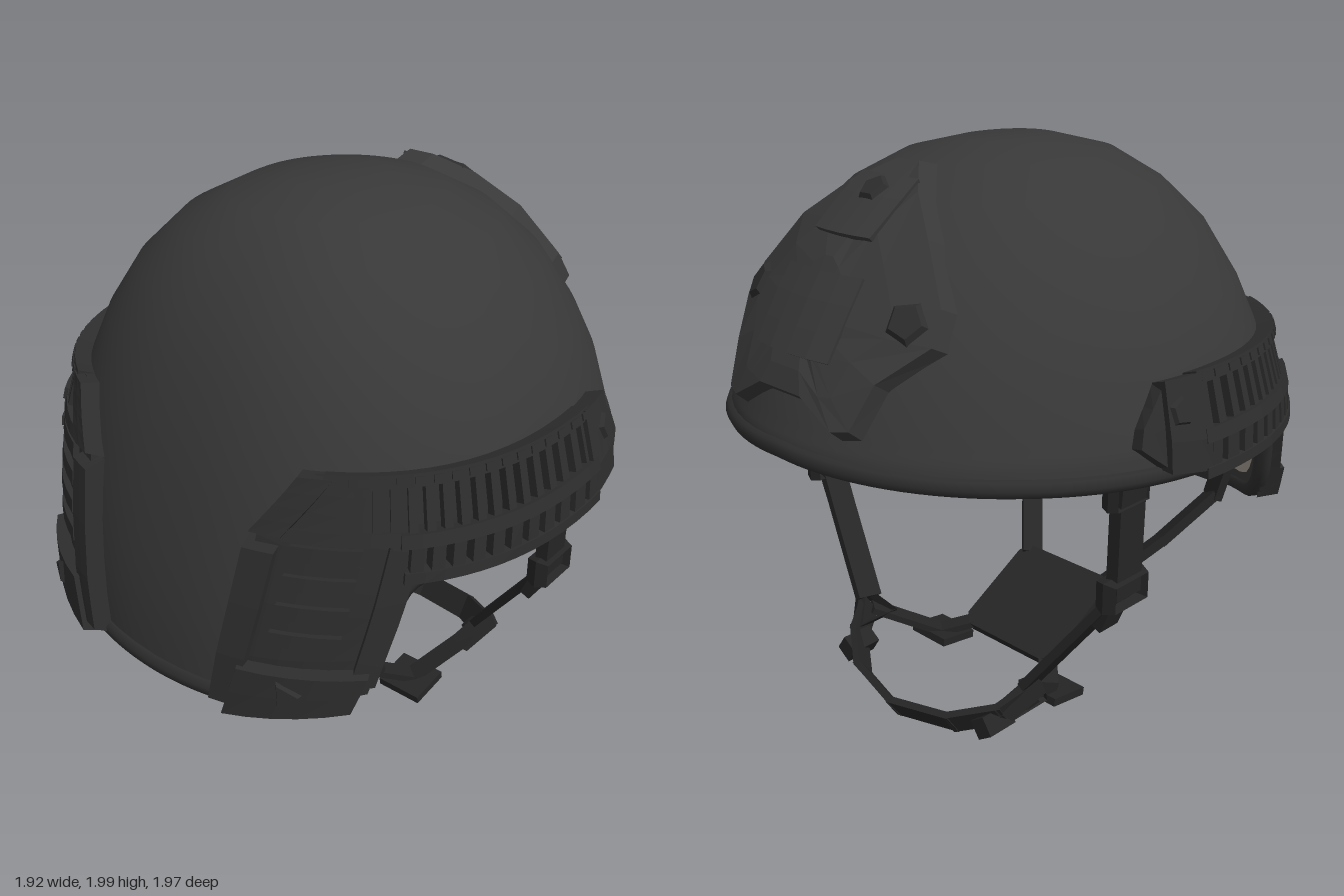
import * as THREE from 'three';
import { mergeGeometries, mergeVertices } from 'three/addons/utils/BufferGeometryUtils.js';
import { RoundedBoxGeometry } from 'three/addons/geometries/RoundedBoxGeometry.js';

const V = (x, y, z) => new THREE.Vector3(x, y, z);
const RAD = Math.PI / 180;
const lerp = THREE.MathUtils.lerp;

// Piecewise linear lookup; key in column 0, value in column k
function look(table, key, k) {
  let i = 0;
  while (i < table.length - 2 && key > table[i + 1][0]) i++;
  const t = THREE.MathUtils.clamp((key - table[i][0]) / (table[i + 1][0] - table[i][0]), 0, 1);
  return lerp(table[i][k], table[i + 1][k], t);
}

// Shell half-sizes by height: y, x, -z, +z
const PROFILE = [[0.58, 0.87, 0.97, 0.955], [0.8, 0.89, 0.97, 0.94], [1, 0.9, 0.97, 0.905], [1.2, 0.89, 0.955, 0.86],
  [1.4, 0.833, 0.88, 0.8], [1.555, 0.764, 0.79, 0.735], [1.73, 0.643, 0.67, 0.645], [1.865, 0.505, 0.505, 0.51],
  [1.955, 0.33, 0.335, 0.38], [2, 0.14, 0.15, 0.2]];
// Rim height by angle from +z
const RIM = [[0, 0.612], [20, 0.622], [35, 0.655], [41, 0.69], [46, 0.79], [50, 1.04], [55, 1.09], [90, 1.11], [130, 1.14], [180, 1.17]];
const rimY = (deg) => look(RIM, Math.abs(deg), 1);

function raw(deg, y) {
  const s = Math.sin(deg * RAD), c = Math.cos(deg * RAD), n = c > 0 ? 0.87 : 1;
  const x = look(PROFILE, y, 1) * Math.sign(s) * Math.abs(s) ** n;
  return V(x, y, c > 0 ? look(PROFILE, y, 3) * c ** n : look(PROFILE, y, 2) * c);
}
// Point on the shell, moved outward by off
function onShell(deg, y, off = 0) {
  const yn = Math.min(y, 1.97);
  const n = raw(deg + 2, yn).sub(raw(deg - 2, yn)).cross(raw(deg, yn + 0.03).sub(raw(deg, yn - 0.03))).normalize();
  return raw(deg, y).addScaledVector(n, off);
}

function fromPoints(pts, smooth) {
  let g = new THREE.BufferGeometry().setFromPoints(pts);
  if (smooth) g = mergeVertices(g, 1e-4);
  g.computeVertexNormals();
  return g;
}
function gridPoints(f, nu, nv, flip) {
  const out = [];
  for (let i = 0; i < nu; i++) for (let j = 0; j < nv; j++) {
    const [a, b, c, d] = [f(i / nu, j / nv), f((i + 1) / nu, j / nv), f((i + 1) / nu, (j + 1) / nv), f(i / nu, (j + 1) / nv)];
    out.push(...(flip ? [a, c, b, a, d, c] : [a, b, c, a, c, d]));
  }
  return out;
}

// Raised flat-sided slab on the shell between four [angle, y] corners
function slab(q, hi, nu = 1, nv = 1, lo = -0.01, bevel = 0) {
  const f = (u, v, h) => onShell(
    lerp(lerp(q[0][0], q[1][0], u), lerp(q[3][0], q[2][0], u), v),
    lerp(lerp(q[0][1], q[1][1], u), lerp(q[3][1], q[2][1], u), v), h);
  const inset = (t) => bevel + t * (1 - 2 * bevel);
  const top = (u, v) => f(inset(u), inset(v), hi);
  const side = (g, n, flip) => gridPoints((t, w) => { const [u, v] = g(t); return w ? top(u, v) : f(u, v, lo); }, n, 1, flip);
  return fromPoints([...gridPoints(top, nu, nv),
    ...side((t) => [t, 0], nu), ...side((t) => [t, 1], nu, true),
    ...side((t) => [1, t], nv), ...side((t) => [0, t], nv, true)]);
}
const strip = (d0, d1, y0, y1, hi, nu, nv = 1) => slab([[d0, y0], [d1, y0], [d1, y1], [d0, y1]], hi, nu, nv);

// Faceted screw head pointing out of the shell
function stud(deg, y, off, r, h, sides) {
  const p = onShell(deg, y, off), n = onShell(deg, y, off + 0.1).sub(p).normalize();
  const g = new THREE.CylinderGeometry(r * 0.7, r, h, sides).toNonIndexed().deleteAttribute('uv');
  g.computeVertexNormals();
  return g.applyQuaternion(new THREE.Quaternion().setFromUnitVectors(V(0, 1, 0), n)).translate(p.x, p.y, p.z);
}

// Flat webbing along points
function strap(points, width, across, thick = 0.025) {
  const parts = [];
  for (let i = 0; i < points.length - 1; i++) {
    const a = V(...points[i]), b = V(...points[i + 1]), d = b.clone().sub(a), len = d.length();
    d.normalize();
    const w = V(...across).addScaledVector(d, -V(...across).dot(d)).normalize();
    const m = new THREE.Matrix4().makeBasis(w, d, w.clone().cross(d)).setPosition(a.add(b).multiplyScalar(0.5));
    parts.push(new THREE.BoxGeometry(width, len + 0.02, thick).applyMatrix4(m));
  }
  return mergeGeometries(parts);
}
// Ring buckle with straight sides, lying in the y-z plane
function buckle(sides, h, w, tube, x, y, z, tilt = 0) {
  const g = new THREE.TorusGeometry(1, tube, 4, sides).toNonIndexed();
  g.computeVertexNormals();
  const k = sides === 4 ? Math.SQRT1_2 : 1;
  return g.rotateZ(sides === 4 ? Math.PI / 4 : Math.PI / 2).scale(w / 2 / k, h / 2 / k, 0.2)
    .rotateY(Math.PI / 2).rotateZ(tilt).translate(x, y, z);
}
// Mirror across x and restore the corner order
function mirrored(geo) {
  const g = (geo.index ? geo.toNonIndexed() : geo.clone()).scale(-1, 1, 1);
  for (const a of Object.values(g.attributes)) {
    const s = a.itemSize;
    for (let i = 0; i < a.count; i += 3) for (let k = 0; k < s; k++) {
      const p = (i + 1) * s + k, t = a.array[p];
      a.array[p] = a.array[p + s]; a.array[p + s] = t;
    }
  }
  return g;
}

export function createModel() {
  const model = new THREE.Group();
  const mat = (name, color) => Object.assign(new THREE.MeshStandardMaterial({ color }), { name });
  const shellMat = mat('shell charcoal', 0x383838), railMat = mat('rail black', 0x2d2d2d);
  const webMat = mat('webbing black', 0x252525), liningMat = mat('lining beige', 0xa89f95);
  const add = (name, geo, m) => {
    const mesh = new THREE.Mesh(geo, m);
    mesh.name = name;
    model.add(mesh);
    return mesh;
  };
  const pair = (name, geo, m) => { add(name + 'Left', geo, m); add(name + 'Right', mirrored(geo), m); };

  // Outer and inner dome
  const rows = [2, 2, 1.955, 1.865, 1.73, 1.555, 1.4, 1.25];
  const dome = (off) => (u, v) => {
    const deg = u * 360 - 180, j = Math.round(v * 12);
    if (j === 0) return V(0, 2 + off, 0);
    return onShell(deg, j < 8 ? rows[j] : lerp(1.25, rimY(deg), (j - 7) / 5), off);
  };
  add('shell', fromPoints(gridPoints(dome(0), 72, 12, true), true), shellMat);
  add('shellInside', fromPoints(gridPoints(dome(-0.03), 72, 12), true), shellMat);

  // Rim edging
  const rimPts = Array.from({ length: 72 }, (_, i) => onShell(i * 5 - 180, rimY(i * 5 - 180), -0.012));
  add('rimEdging', new THREE.TubeGeometry(new THREE.CatmullRomCurve3(rimPts, true), 144, 0.033, 8, true), railMat);

  // Quilted lining over the +z half of the inside
  const lining = (u, v) => {
    const s = u * 2 - 1, y = lerp(1.98, rimY(s * 75) + 0.07, v);
    const end = Math.acos(Math.min(1, (0.2 + 0.07 * v) / look(PROFILE, y, 3)) ** 1.15) / RAD;
    const puff = Math.sqrt(Math.abs(Math.sin(s * Math.PI * 3) * Math.sin(v * Math.PI * 4)));
    return onShell(s * end, y, -0.05 - 0.025 * puff);
  };
  add('lining', fromPoints(gridPoints(lining, 60, 40), true), liningMat).material.side = THREE.DoubleSide;

  // Side rails with ribs and blocks
  const rail = [strip(48, 95, 1.1, 1.39, 0.015, 12, 2), strip(33, 96, 1.36, 1.395, 0.055, 14), strip(49, 96, 1.09, 1.125, 0.065, 12),
    strip(48, 96, 1.195, 1.23, 0.062, 12)];
  for (let i = 0; i < 16; i++) rail.push(strip(39 + i * 3.6, 40.8 + i * 3.6, 1.23, 1.37, 0.045, 1));
  for (let i = 0; i < 11; i++) rail.push(strip(50 + i * 4.2, 52.6 + i * 4.2, 1.12, 1.2, 0.06, 1));
  for (let i = 0; i < 16; i++) rail.push(strip(36 + i * 3.8, 38 + i * 3.8, 1.367, 1.387, 0.06, 1));
  pair('sideRail', mergeGeometries(rail), railMat);
  pair('railEndCap', mergeGeometries([
    slab([[94, 1.11], [104, 1.14], [104, 1.39], [94, 1.39]], 0.06, 3, 3),
    slab([[104, 1.14], [110, 1.22], [109, 1.27], [104, 1.39]], 0.045, 2, 2, -0.01, 0.06),
    stud(101, 1.3, 0.06, 0.055, 0.025, 5)]), railMat);

  // Drop panels with slot bars and end caps
  const panel = [
    slab([[15, 0.61], [45, 0.7], [51, 1.1], [20, 1.2]], 0.03, 6, 6),
    slab([[20, 1.2], [51, 1.1], [50, 1.39], [31, 1.39]], 0.03, 5, 4),
    slab([[13, 0.6], [19, 0.6], [25, 1.2], [18, 1.2]], 0.06, 2, 6, -0.01, 0.06),
    slab([[18, 1.2], [25, 1.2], [36, 1.395], [28, 1.395]], 0.06, 2, 4, -0.01, 0.06),
    slab([[41, 0.74], [46, 0.74], [51, 1.1], [46, 1.2]], 0.05, 1, 5),
    slab([[25, 1.2], [48, 1.2], [48, 1.235], [26, 1.235]], 0.05, 4)];
  for (let i = 0; i < 4; i++) {
    const y = 0.87 + i * 0.092, d = 24 + i * 0.8;
    panel.push(slab([[d, y], [d + 14, y], [d + 14.5, y + 0.045], [d + 0.5, y + 0.045]], 0.05, 3));
  }
  pair('dropPanel', mergeGeometries(panel), railMat);
  pair('panelEndCap', mergeGeometries([
    slab([[15, 0.59], [43, 0.66], [46, 0.8], [18, 0.8]], 0.075, 5, 2, -0.01, 0.06),
    stud(29, 0.73, 0.075, 0.06, 0.025, 3)]), railMat);

  // Star-shaped mount plate on the -z face
  const half = [[0.05, 1.955], [0.16, 1.885], [0.3, 1.77], [0.43, 1.6], [0.45, 1.5], [0.34, 1.39], [0.3, 1.25], [0.24, 1.24], [0.1, 1.32]];
  const outline = [...half, ...half.map(([x, y]) => [-x, y]).reverse()];
  const degAt = (x, y) => 180 - Math.asin(x / look(PROFILE, y, 1)) / RAD;
  const rings = [[0, 0.05], [0.35, 0.05], [0.65, 0.05], [0.92, 0.052], [1, -0.01]];
  const star = (u, v) => {
    const [x, y] = outline[Math.round(u * outline.length) % outline.length], [k, off] = rings[Math.round(v * 4)];
    const py = lerp(1.55, y, k);
    return onShell(degAt(x * k, py), py, off);
  };
  add('mountPlate', fromPoints(gridPoints(star, outline.length, 4, true)), shellMat);
  const onFace = (x, y0, y1, hi) => slab([[degAt(x, y0), y0], [degAt(-x, y0), y0], [degAt(-x, y1), y1], [degAt(x, y1), y1]], hi, 4, 3);
  add('mountPocket', mergeGeometries([onFace(0.16, 1.43, 1.65, 0.058), onFace(0.12, 1.74, 1.88, 0.06)]), shellMat);
  add('mountTipScrew', stud(180, 1.85, 0.06, 0.06, 0.02, 5), railMat);
  pair('mountWingScrew', stud(degAt(0.33, 1.56), 1.56, 0.05, 0.075, 0.025, 5), railMat);

  // Chin harness
  pair('sideStrap', mergeGeometries([
    strap([[0.76, 1.2, -0.22], [0.745, 0.98, -0.22], [0.74, 0.68, -0.22]], 0.12, [0, 0, 1], 0.045),
    strap([[0.74, 0.68, -0.22], [0.64, 0.54, -0.25], [0.43, 0.25, -0.31]], 0.1, [0, 0, 1], 0.03),
    strap([[0.735, 0.68, -0.23], [0.68, 0.55, -0.23]], 0.09, [0, 0, 1], 0.04)]), webMat);
  pair('napeStrap', strap([[0.5, 0.82, 0.69], [0.46, 0.64, 0.67], [0.34, 0.46, 0.52], [0.19, 0.28, 0.36]], 0.08, [1, 0.6, -0.3], 0.035), webMat);
  pair('lowerStrap', strap([[0.19, 0.09, 0.04], [0.29, 0.05, -0.06], [0.42, 0.19, -0.29]], 0.07, [1, 0, 0.8]), webMat);
  pair('chinStrap', strap([[0.43, 0.2, -0.31], [0.38, 0.14, -0.4], [0.24, 0.09, -0.5], [0, 0.065, -0.55]], 0.1, [0, 1, -0.7]), webMat);
  pair('strapHardware', mergeGeometries([
    buckle(4, 0.08, 0.15, 0.16, 0.745, 1.03, -0.23), buckle(4, 0.09, 0.16, 0.2, 0.74, 0.69, -0.225),
    buckle(3, 0.17, 0.2, 0.2, 0.42, 0.19, -0.31, -0.6),
    new THREE.BoxGeometry(0.18, 0.03, 0.16).toNonIndexed().rotateX(0.15).translate(0.29, 0.04, -0.05),
    new THREE.BoxGeometry(0.07, 0.07, 0.12).toNonIndexed().rotateZ(0.6).translate(0.36, 0.11, -0.42)]), webMat);

  // Nape pad with clipped corners, lying between the straps
  const corners = [[0.23, 0.17], [0.19, 0.21], [-0.19, 0.21], [-0.23, 0.17], [-0.23, -0.17], [-0.19, -0.21], [0.19, -0.21], [0.23, -0.17]];
  const pad = new THREE.ExtrudeGeometry(new THREE.Shape(corners.map(([x, y]) => new THREE.Vector2(x, y))), { depth: 0.04, bevelEnabled: false });
  add('napePad', pad.translate(0, 0, -0.02).rotateX(-Math.PI / 2 - 0.52).translate(0, 0.18, 0.19), webMat);

  // Small device pod under the dome
  const box = (w, h, d, x, y, z, r = 0.02) => new RoundedBoxGeometry(w, h, d, 2, r).translate(x, y, z);
  add('podBody', mergeGeometries([
    box(0.24, 0.2, 0.28, -0.03, 1.0, 0.01, 0.035), box(0.24, 0.2, 0.24, -0.03, 0.88, 0.01, 0.035),
    box(0.28, 0.06, 0.12, -0.03, 0.93, 0.0), box(0.27, 0.05, 0.14, -0.03, 1.03, 0.02),
    box(0.27, 0.08, 0.06, -0.03, 0.86, 0.04), box(0.18, 0.04, 0.17, -0.03, 0.79, 0.01)]), webMat);
  add('podCable', new THREE.TubeGeometry(new THREE.CatmullRomCurve3(
    [V(-0.03, 1.05, -0.12), V(-0.03, 0.95, -0.16), V(-0.03, 0.82, -0.15), V(-0.03, 0.8, -0.09)]), 16, 0.006, 5), webMat);
  return model;
}
